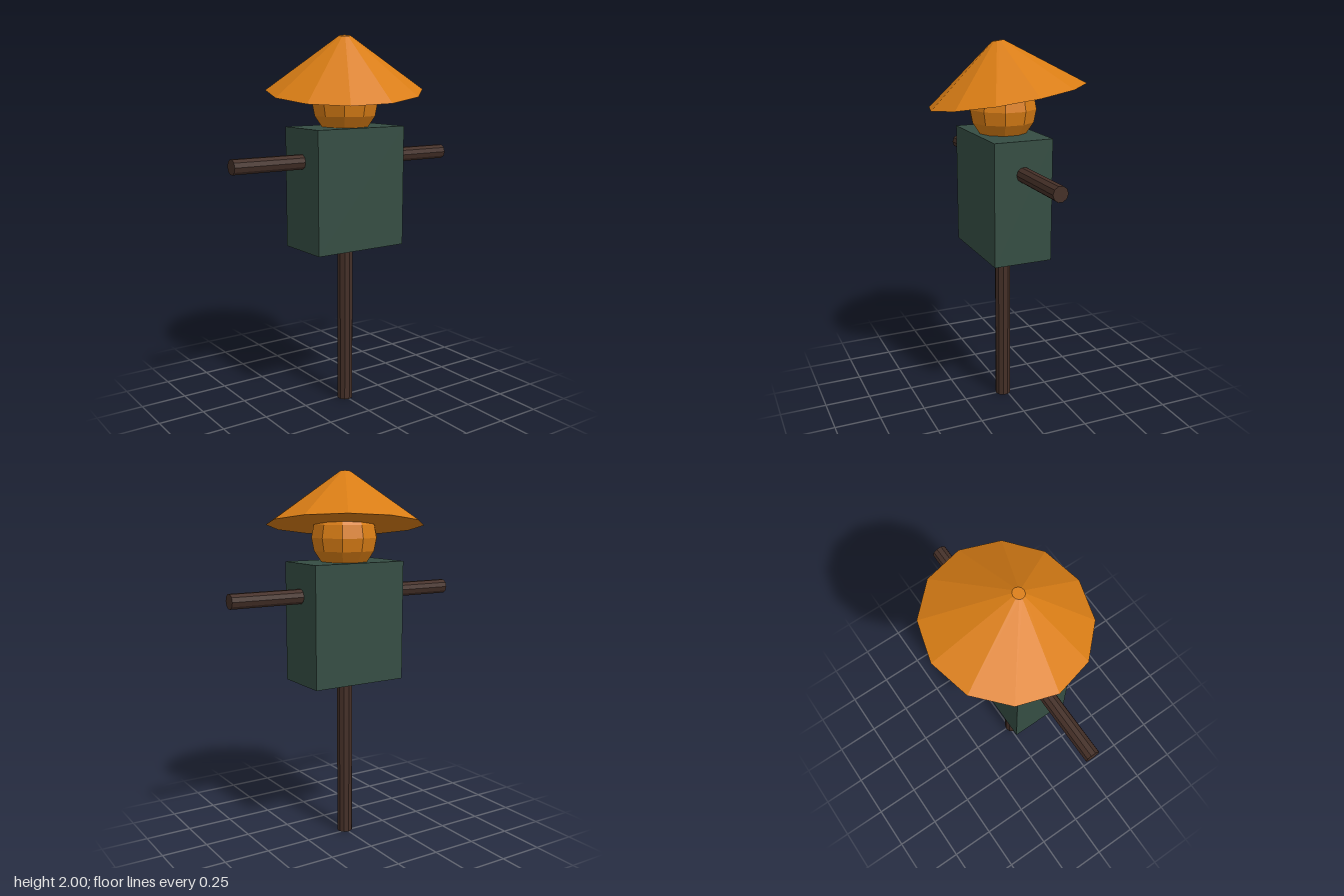
import * as THREE from 'three';

const material = (color) => new THREE.MeshStandardMaterial({ color, flatShading: true });

export function createModel() {
  const group = new THREE.Group();
  const wood = material(0x442f27);
  const cloth = material(0x354d43);
  const straw = material(0xd97d15);
  const axisZ = 0.02; // depth of the post, shared by all but the hat

  const add = (name, geometry, mat, x, y, z) => {
    const mesh = new THREE.Mesh(geometry, mat);
    mesh.name = name;
    mesh.position.set(x, y, z);
    group.add(mesh);
    return mesh;
  };

  // Upright post, running up inside the body
  add('post', new THREE.CylinderGeometry(0.043, 0.043, 1.5, 10), wood, 0, 0.75, axisZ);

  // Crossbar forming both arms
  const bar = add('crossbar', new THREE.CylinderGeometry(0.04, 0.04, 1.35, 10), wood, 0, 1.358, axisZ);
  bar.rotation.z = Math.PI / 2;

  // Box body
  add('body', new THREE.BoxGeometry(0.545, 0.645, 0.318), cloth, 0, 1.207, axisZ);

  // Faceted head, with a seam facing forward
  const head = add('head', new THREE.SphereGeometry(0.18, 10, 8), straw, 0, 1.656, axisZ);
  head.rotation.y = -Math.PI / 2;

  // Wide conical hat, tilted forward and to one side about its brim
  const cone = new THREE.CylinderGeometry(0.03, 0.417, 0.28, 12);
  cone.translate(0, 0.14, 0);
  const hat = add('hat', cone, straw, 0.009, 1.721, 0);
  hat.rotation.set(0.14, 0, 0.087);

  return group;
}
